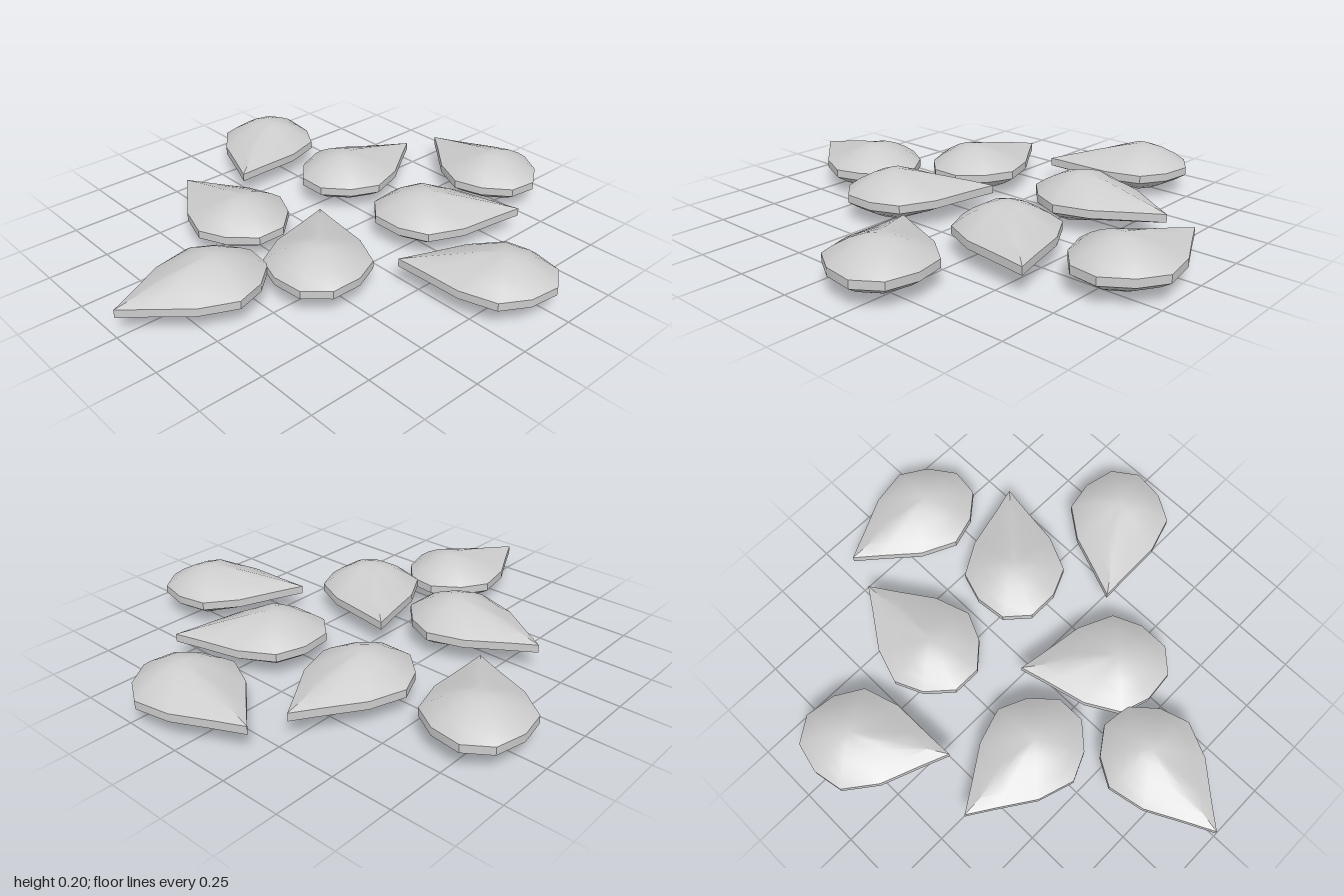
import * as THREE from 'three';
import { toCreasedNormals } from 'three/addons/utils/BufferGeometryUtils.js';

// Half outline of a seed: [half width, distance from the tip]
const HALF = [[0, 0], [0.065, 0.1], [0.16, 0.24], [0.207, 0.386], [0.156, 0.5], [0.06, 0.587]];
const CENTRE = 0.386; // distance from the tip to the highest point
const RIM_TOP = 0.113, RIM_BOTTOM = 0.08, TOP = 0.2, BOTTOM = 0;

// Teardrop with a domed top and bottom and a thin upright rim, tip towards +z
function seedGeometry() {
  const right = HALF.map(([w, d]) => [w, CENTRE - d]);
  const left = right.slice(1).reverse().map(([x, z]) => [-x, z]);
  const outline = [...right, ...left];
  const n = outline.length;

  // Rings from the top point out to the rim and back to the bottom point
  const radii = [0, 0.25, 0.5, 0.78, 1];
  const rings = [
    ...radii.map((r) => [r, RIM_TOP, TOP]),
    ...radii.slice().reverse().map((r) => [r, RIM_BOTTOM, BOTTOM]),
  ];
  const point = ([r, rim, peak], i) => {
    const [x, z] = outline[i % n];
    // Straight slope towards the tip, rounder dome elsewhere
    const tipward = Math.max(0, z / Math.hypot(x, z));
    const power = 1.85 - 0.7 * tipward;
    return [x * r, rim + (peak - rim) * (1 - r ** power), z * r];
  };

  const positions = [];
  for (let k = 0; k < rings.length - 1; k++) {
    for (let i = 0; i < n; i++) {
      const a = point(rings[k], i), b = point(rings[k], i + 1);
      const c = point(rings[k + 1], i), d = point(rings[k + 1], i + 1);
      if (rings[k + 1][0] > 0) positions.push(...a, ...c, ...d);
      if (rings[k][0] > 0) positions.push(...a, ...d, ...b);
    }
  }
  const geometry = new THREE.BufferGeometry();
  geometry.setAttribute('position', new THREE.Float32BufferAttribute(positions, 3));
  return toCreasedNormals(geometry, 0.7);
}

export function createModel() {
  const group = new THREE.Group();
  group.name = 'scatteredSeeds';
  const material = new THREE.MeshStandardMaterial({ color: 0xcccccc });
  const geometry = seedGeometry();

  // Each seed: centre x, centre z, then the direction its tip points (x, z)
  const seeds = [
    [0.177, -0.797, -72, -9.5],
    [-0.248, -0.318, 0, -1],
    [0.225, -0.316, 49, -54.5],
    [-0.728, -0.263, 42, 60.5],
    [0.735, -0.19, -59.5, 42],
    [-0.246, 0.267, -1, 0],
    [0.228, 0.265, -53.5, -49],
    [0.038, 0.612, -8.5, 71.5],
  ];
  seeds.forEach(([x, z, dx, dz], i) => {
    const seed = new THREE.Mesh(geometry, material);
    seed.name = `seed${i + 1}`;
    seed.position.set(x, 0, z);
    seed.rotation.y = Math.atan2(dx, dz);
    group.add(seed);
  });
  return group;
}
